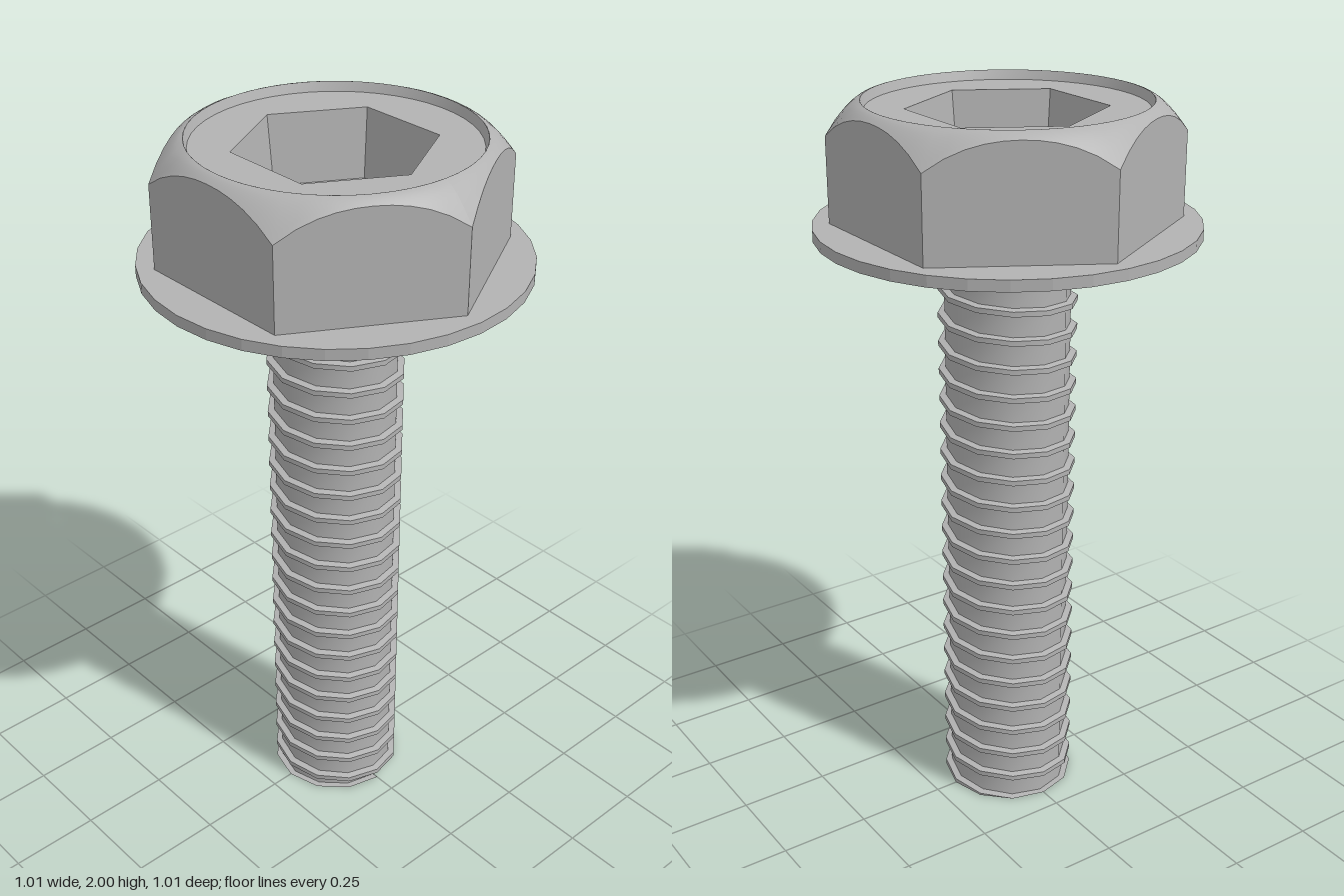
import * as THREE from 'three';

const TAU = Math.PI * 2;
const polar = (r, a, y) => [r * Math.sin(a), y, r * Math.cos(a)];
const ring = (n, fn) => Array.from({ length: n + 1 }, (_, i) => fn((i / n) * TAU));

// Smooth surface through rows of points, listed left to right and bottom to top
function loft(rows) {
  const n = rows[0].length, index = [];
  for (let j = 0; j < rows.length - 1; j++)
    for (let i = 0; i < n - 1; i++) {
      const a = j * n + i, d = a + n;
      index.push(a, a + 1, d + 1, a, d + 1, d);
    }
  const g = new THREE.BufferGeometry();
  g.setAttribute('position', new THREE.Float32BufferAttribute(rows.flat(2), 3));
  g.setIndex(index);
  g.computeVertexNormals();
  return g;
}

// Flat polygon outline for shapes; corners start on the z axis
const outline = (n, r) => Array.from({ length: n }, (_, i) =>
  new THREE.Vector2(r * Math.sin((i / n) * TAU), r * Math.cos((i / n) * TAU)));

function plateWithHexHole(sides, r, hole) {
  const s = new THREE.Shape(outline(sides, r));
  s.holes.push(new THREE.Path(outline(6, hole)));
  return s;
}

export function createModel() {
  const model = new THREE.Group();
  model.name = 'flangedBolt';
  const steel = new THREE.MeshStandardMaterial({ color: 0xb2b2b2, side: THREE.DoubleSide });
  steel.name = 'steel';
  const head = new THREE.Group();
  head.name = 'head';
  model.add(head);
  const add = (name, geometry, parent = head) => {
    const m = new THREE.Mesh(geometry, steel);
    m.name = name;
    parent.add(m);
    return m;
  };

  // Head dimensions
  const corner = 0.46, flat = corner * Math.cos(Math.PI / 6);
  const topR = 0.37, topY = 2, recessR = 0.362, recessY = 1.975, floorY = 1.79;
  const flangeY = 1.655, flangeTop = 1.685;
  const hexR = a => {
    const k = ((a % (TAU / 6)) + TAU / 6) % (TAU / 6);
    return flat / Math.cos(k - Math.PI / 6);
  };
  const chamferY = r => topY - 0.09 * Math.pow(Math.max(0, (r - topR) / 0.09), 1.45);

  // Flange washer, open in the middle under the hollow head
  const flange = new THREE.ExtrudeGeometry(plateWithHexHole(32, 0.505, corner - 0.002),
    { depth: flangeTop - flangeY, bevelEnabled: false });
  flange.rotateX(-Math.PI / 2);
  add('flange', flange).position.y = flangeY;

  // Six side faces with arched tops, and six socket walls
  for (let k = 0; k < 6; k++) {
    const a0 = (k / 6) * TAU, a1 = ((k + 1) / 6) * TAU;
    const low = [], high = [];
    for (let i = 0; i <= 10; i++) {
      const a = a0 + ((a1 - a0) * i) / 10, r = hexR(a);
      low.push(polar(r, a, flangeY + 0.01));
      high.push(polar(r, a, chamferY(r)));
    }
    add('headSide', loft([low, high]));
    add('socketWall', loft([
      [polar(0.24, a1, floorY), polar(0.24, a0, floorY)],
      [polar(0.26, a1, recessY), polar(0.26, a0, recessY)],
    ]));
  }

  // Rounded chamfer from the hexagon to the round top
  const chamfer = [];
  for (let j = 0; j <= 5; j++)
    chamfer.push(ring(60, a => {
      const r = THREE.MathUtils.lerp(hexR(a), topR, j / 5);
      return polar(r, a, chamferY(r));
    }));
  add('headChamfer', loft(chamfer));

  // Shallow recess in the top, with the hexagonal socket
  add('recessWall', loft([
    ring(48, a => polar(recessR, -a, recessY)),
    ring(48, a => polar(topR, -a, topY)),
  ]));
  const top = new THREE.ShapeGeometry(plateWithHexHole(48, recessR, 0.26));
  add('headTop', top.rotateX(-Math.PI / 2)).position.y = recessY;
  const floor = new THREE.ShapeGeometry(new THREE.Shape(outline(6, 0.24)));
  add('socketFloor', floor.rotateX(-Math.PI / 2)).position.y = floorY;

  // Threaded shank: each strip of the thread profile winds up the helix
  const shank = new THREE.Group();
  shank.name = 'shank';
  model.add(shank);
  const root = 0.168, crest = 0.186, seg = 12, turns = 21, length = 1.655;
  const pitch = length / turns;
  const profile = [[root, -0.54], [root, 0.18], [crest, 0.23], [crest, 0.41], [root, 0.46]];
  const names = ['threadRoot', 'threadUnderside', 'threadCrest', 'threadUpperSide'];
  const helix = ([r, f]) => {
    const row = [];
    for (let i = (turns + 1) * seg; i >= -seg; i--) {
      const y = THREE.MathUtils.clamp(pitch * (f + i / seg), 0, length);
      row.push(polar(r, (-i / seg) * TAU, y));
    }
    return row;
  };
  names.forEach((name, k) => add(name, loft([helix(profile[k]), helix(profile[k + 1])]), shank));

  // End caps
  for (const y of [0, length]) {
    const cap = new THREE.ShapeGeometry(new THREE.Shape(outline(seg, root)));
    cap.rotateX(y ? -Math.PI / 2 : Math.PI / 2);
    add(y ? 'shankTop' : 'shankTip', cap, shank).position.y = y;
  }
  return model;
}
